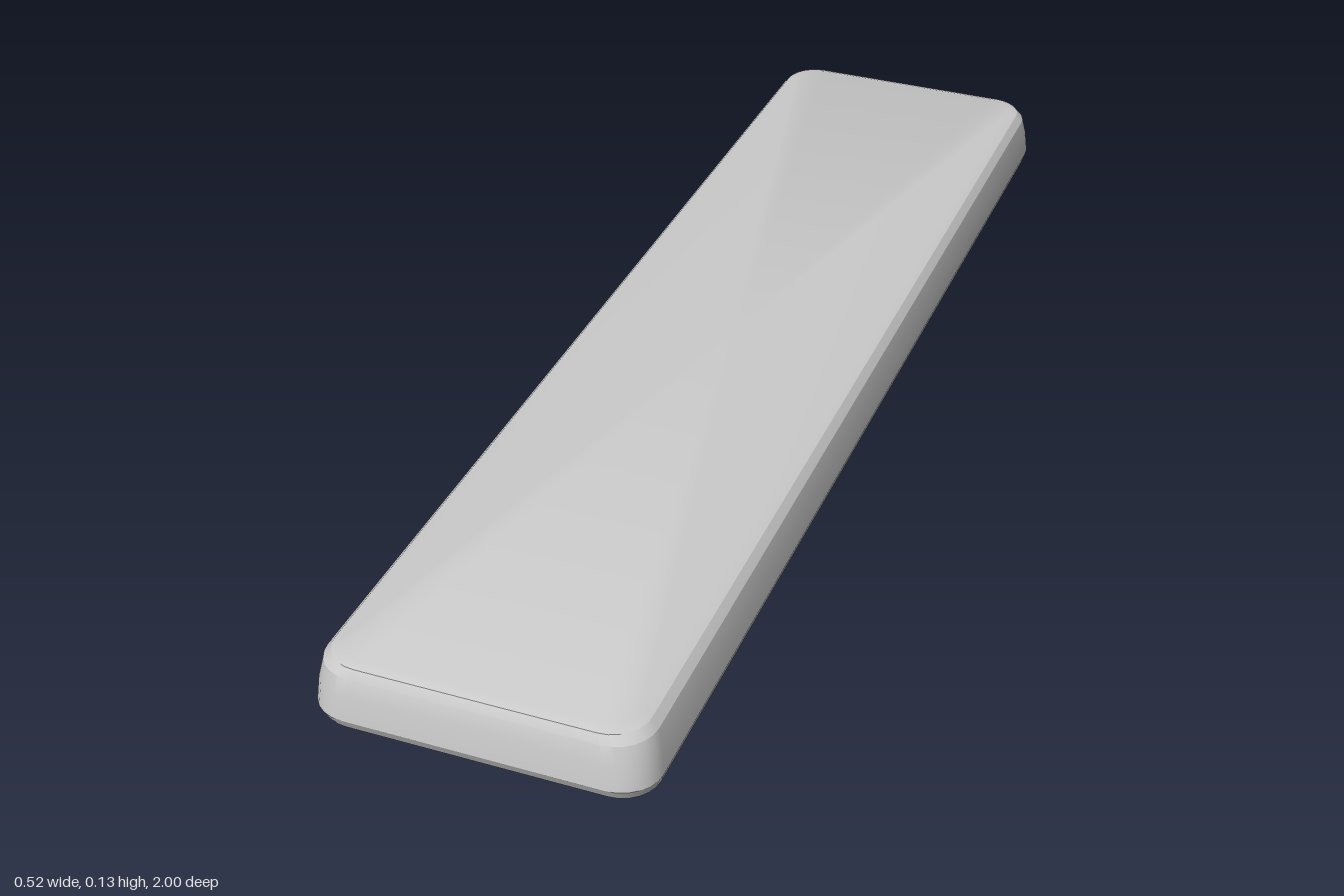
import * as THREE from 'three';
import { toCreasedNormals } from 'three/addons/utils/BufferGeometryUtils.js';

const material = new THREE.MeshStandardMaterial({ color: 0xcccccc });
const CORNER = 6; // segments per rounded corner
const RIM = { y: 0.026, hw: 0.25, hl: 0.99, r: 0.055 };

// The slab is a touch wider at the front
const taper = (x, z) => x * (1 + 0.018 * z);

function makeMesh(name, points, index, crease) {
  const geo = new THREE.BufferGeometry();
  geo.setAttribute('position', new THREE.Float32BufferAttribute(points, 3));
  geo.setIndex(index);
  const mesh = new THREE.Mesh(toCreasedNormals(geo, crease), material);
  mesh.name = name;
  return mesh;
}

// Rounded rectangle in plan, running from +x toward +z
function outline({ y, hw, hl, r }) {
  const pts = [];
  const signs = [[1, 1], [-1, 1], [-1, -1], [1, -1]];
  signs.forEach(([sx, sz], q) => {
    for (let i = 0; i <= CORNER; i++) {
      const a = (q + i / CORNER) * Math.PI / 2;
      const z = sz * (hl - r) + r * Math.sin(a);
      pts.push([taper(sx * (hw - r) + r * Math.cos(a), z), y, z]);
    }
  });
  return pts;
}

// Sides, softened top edge and flat top
function createShell() {
  const rings = [
    RIM,
    { y: 0.045, hw: 0.256, hl: 1.0, r: 0.06 },
    { y: 0.085, hw: 0.252, hl: 0.996, r: 0.06 },
    { y: 0.115, hw: 0.246, hl: 0.99, r: 0.06 },
    { y: 0.128, hw: 0.235, hl: 0.982, r: 0.055 },
    { y: 0.133, hw: 0.218, hl: 0.968, r: 0.045 },
  ].map(outline);
  const points = rings.flat(2), index = [], n = rings[0].length;
  for (let k = 0; k < rings.length - 1; k++) {
    for (let i = 0; i < n; i++) {
      const a = k * n + i, b = k * n + (i + 1) % n;
      index.push(a, a + n, b, b, a + n, b + n);
    }
  }
  const centre = points.length / 3, top = (rings.length - 1) * n;
  points.push(0, 0.133, 0);
  for (let i = 0; i < n; i++) index.push(top + i, centre, top + (i + 1) % n);
  return makeMesh('casing', points, index, 0.4);
}

// Sunken wedges underneath: x range, z range, depth at each z end
const pockets = [
  { x: [-0.14, 0.10], z: [0.22, 0.40], d: [0.004, 0.024] },
  { x: [-0.11, 0.17], z: [-0.03, 0.20], d: [0.026, 0.006] },
  { x: [-0.21, 0.21], z: [-0.09, -0.05], d: [0.008, 0.008] },
  { x: [0.00, 0.19], z: [-0.26, -0.11], d: [0.024, 0.005] },
  { x: [0.02, 0.19], z: [-0.40, -0.29], d: [0.022, 0.005] },
  { x: [-0.21, -0.05], z: [-0.30, -0.16], d: [0.022, 0.004] },
  { x: [-0.21, -0.05], z: [-0.48, -0.33], d: [0.022, 0.004] },
];

function pocketDepth(x, z) {
  let depth = 0;
  for (const p of pockets) {
    if (x > p.x[0] + 0.001 && x < p.x[1] - 0.001 && z > p.z[0] + 0.001 && z < p.z[1] - 0.001) {
      const t = (z - p.z[0]) / (p.z[1] - p.z[0]);
      depth = Math.max(depth, THREE.MathUtils.lerp(p.d[0], p.d[1], t));
    }
  }
  return depth;
}

// Sorted grid lines with duplicates removed
const gridLines = (list) => list.sort((a, b) => a - b).filter((v, i, all) => !i || v - all[i - 1] > 1e-4);

// Shallow bowed underside with the wedges pressed into it
function createUnderside() {
  const { y, hw, hl, r } = RIM;
  const wall = 0.008;
  const edges = (key) => pockets.flatMap((p) =>
    [p[key][0], p[key][0] + wall, p[key][1] - wall, p[key][1]]);
  const xs = gridLines([-hw, -0.235, -0.2, 0, 0.2, 0.235, hw, ...edges('x')]);
  const ends = [];
  for (let i = 0; i <= CORNER; i++) {
    const z = hl - r + r * Math.sin(i / CORNER * Math.PI / 2);
    ends.push(z, -z);
  }
  for (const z of [0.8, 0.65, 0.5]) ends.push(z, -z);
  const zs = gridLines([...ends, ...edges('z')]);

  const points = [], index = [], n = xs.length;
  for (const z of zs) {
    const over = Math.max(0, Math.abs(z) - (hl - r));
    const width = hw - r + Math.sqrt(Math.max(0, r * r - over * over));
    const bow = 1 - (z / hl) ** 2;
    for (const x of xs) {
      const side = Math.min(1, (1 - Math.abs(x) / hw) / 0.2);
      const px = x * width / hw;
      points.push(taper(px, z), y - 0.026 * side * bow + pocketDepth(x, z), z);
    }
  }
  for (let j = 0; j < zs.length - 1; j++) {
    for (let i = 0; i < n - 1; i++) {
      const a = j * n + i;
      index.push(a, a + 1, a + n, a + 1, a + n + 1, a + n);
    }
  }
  return makeMesh('underside', points, index, 0.3);
}

export function createModel() {
  const group = new THREE.Group();
  group.name = 'slab';
  group.add(createShell(), createUnderside());
  return group;
}
